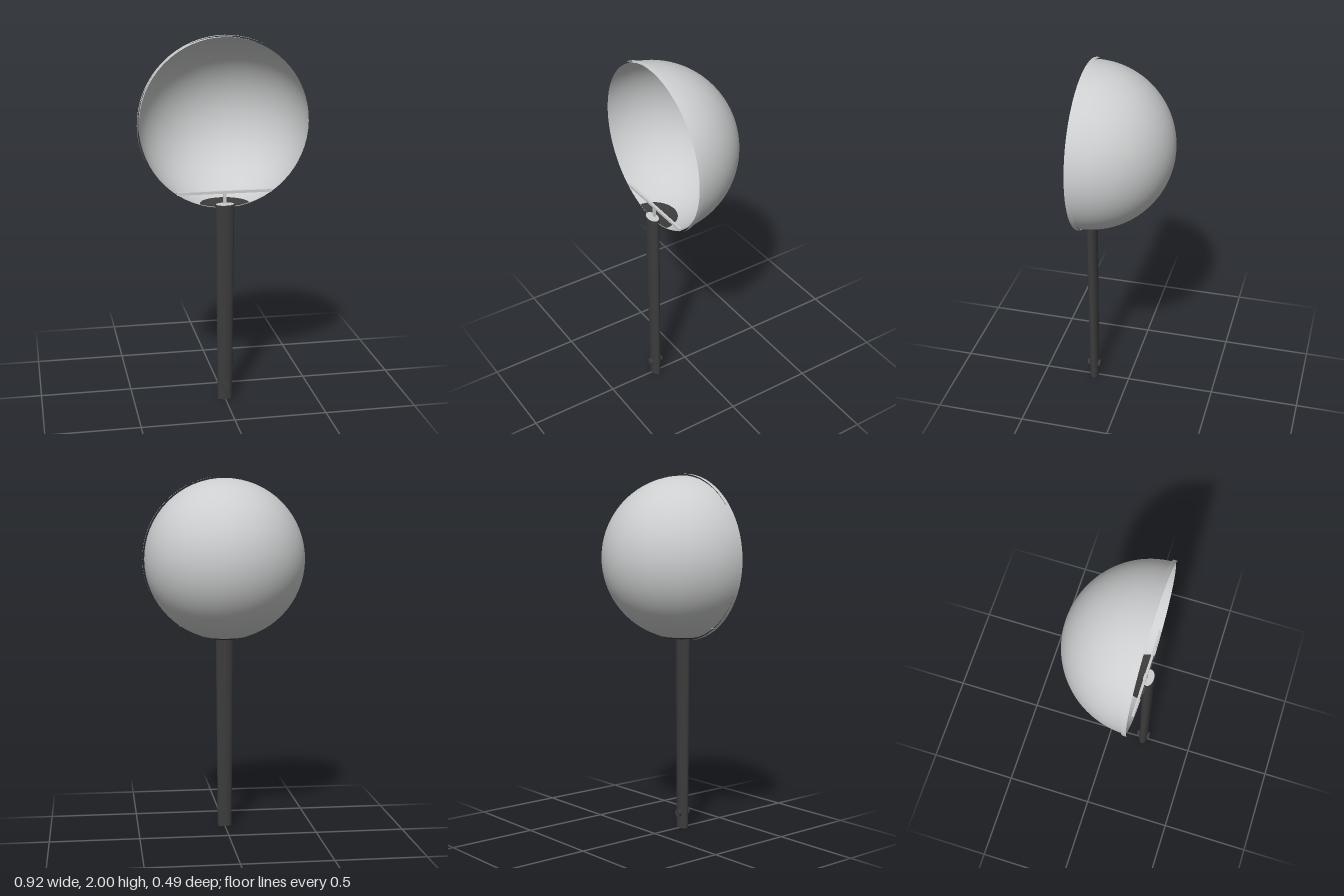
import * as THREE from 'three';

export function createModel() {
  const model = new THREE.Group();
  const steel = new THREE.MeshStandardMaterial({ color: 0xcdcecf, side: THREE.DoubleSide });
  steel.name = 'brushed steel';
  const rimSteel = new THREE.MeshStandardMaterial({ color: 0xcdcecf });
  rimSteel.name = 'rim steel';
  const dark = new THREE.MeshStandardMaterial({ color: 0x3c3c3c, side: THREE.DoubleSide });
  dark.name = 'dark grip';

  const add = (name, geometry, material, x, y, z) => {
    const mesh = new THREE.Mesh(geometry, material);
    mesh.name = name;
    mesh.position.set(x, y, z);
    model.add(mesh);
    return mesh;
  };

  const bowlY = 1.54, bowlZ = 0.203, bowlR = 0.45;

  // Hemispherical bowl, opening towards the front
  const bowl = new THREE.SphereGeometry(bowlR, 64, 32, 0, Math.PI * 2, 0, Math.PI / 2);
  bowl.rotateX(-Math.PI / 2);
  add('bowl', bowl, steel, 0, bowlY, bowlZ);

  // Thin open band around the mouth
  const rim = new THREE.CylinderGeometry(0.46, 0.46, 0.024, 64, 1, true);
  rim.rotateX(Math.PI / 2);
  add('rim', rim, rimSteel, 0, bowlY, 0.204);

  // Dark mounting patch hugging the bottom of the bowl, outside and inside
  for (const [name, r] of [['outerMount', bowlR + 0.003], ['innerMount', bowlR - 0.003]]) {
    const patch = new THREE.SphereGeometry(r, 32, 8, Math.PI, Math.PI, Math.PI - 0.3, 0.3);
    add(name, patch, dark, 0, bowlY, bowlZ);
  }

  // Cross bar and its short post at the mouth
  add('crossBar', new THREE.BoxGeometry(0.51, 0.014, 0.014), steel, 0, 1.172, 0.195);
  add('barPost', new THREE.BoxGeometry(0.016, 0.07, 0.012), steel, 0, 1.133, 0.195);

  // Tapered oval handle with a steel end face
  const handle = new THREE.CylinderGeometry(0.05, 0.04, 1.108, 40);
  handle.scale(1, 1, 0.62);
  add('handle', handle, dark, 0, 0.554, 0.208);
  const cap = new THREE.CylinderGeometry(0.048, 0.048, 0.003, 40);
  cap.scale(1, 1, 0.6);
  add('handleCap', cap, steel, 0, 1.1095, 0.208);

  // Pin through the handle's lower end
  const pin = new THREE.CylinderGeometry(0.02, 0.02, 0.076, 24);
  pin.rotateX(Math.PI / 2);
  add('pin', pin, dark, 0, 0.085, 0.208);

  return model;
}
